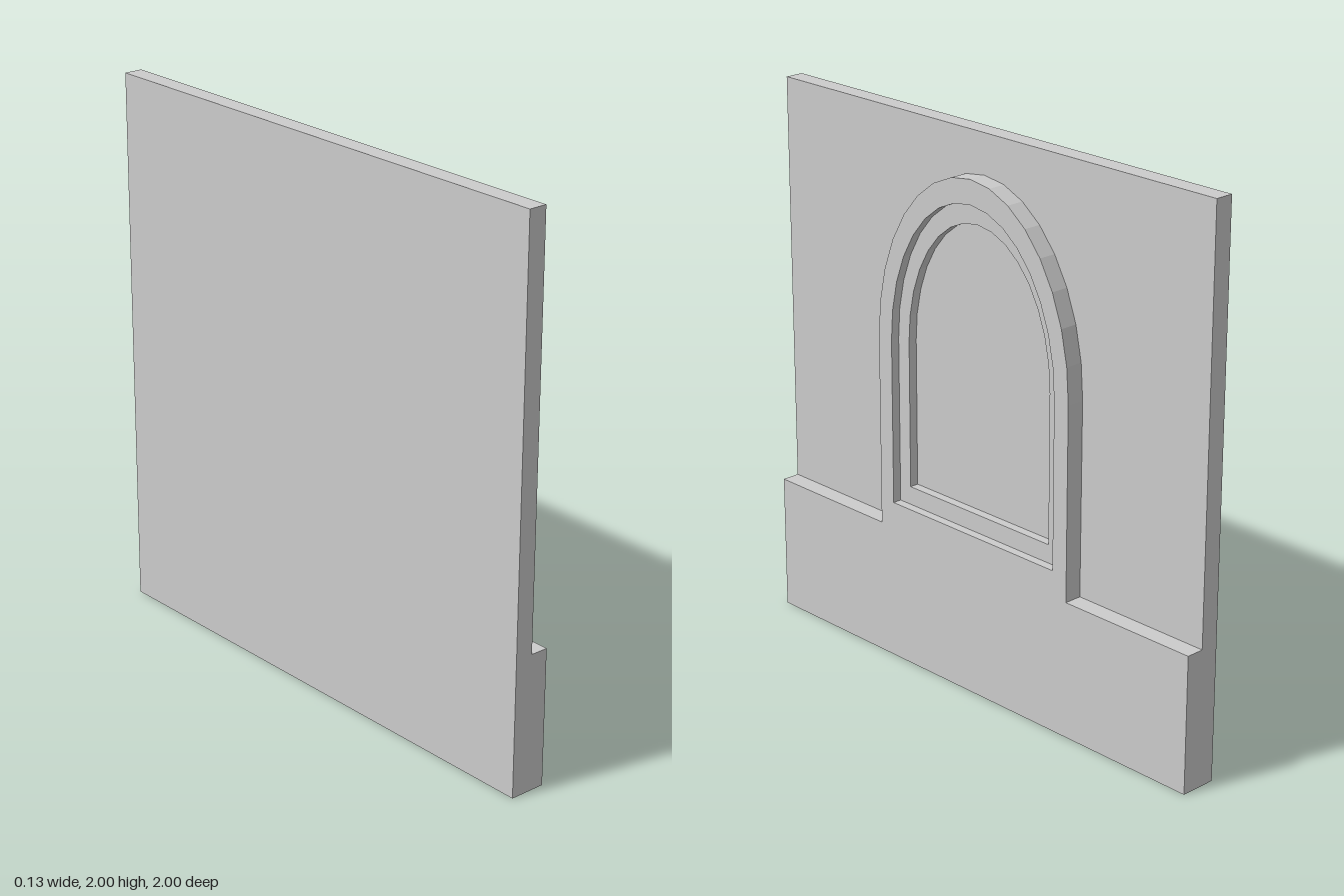
import * as THREE from 'three';

const material = new THREE.MeshStandardMaterial({ color: 0xcccccc });
const FRONT = 0.066, STEP = 0.033, BACK = -0.068;
const SPRING = 1.2, CENTRE = -0.003, PLINTH = 0.5;

// Elliptical arch, from the right jamb over the crown to the left jamb
function archPoints(halfWidth, apex, segments = 16) {
  const pts = [];
  for (let i = 0; i <= segments; i++) {
    const a = (i / segments) * Math.PI;
    pts.push(new THREE.Vector2(
      CENTRE + halfWidth * Math.cos(a),
      SPRING + (apex - SPRING) * Math.sin(a)));
  }
  return pts;
}

// Arch closed with straight jambs down to a level base
function archOutline(halfWidth, apex, base) {
  return [
    new THREE.Vector2(CENTRE + halfWidth, base),
    ...archPoints(halfWidth, apex),
    new THREE.Vector2(CENTRE - halfWidth, base),
  ];
}

// Plinth and arch surround in one slab, with an arched opening
function surroundLayer(name, opening, x0, x1) {
  const shape = new THREE.Shape([
    new THREE.Vector2(-1, 0),
    new THREE.Vector2(1, 0),
    new THREE.Vector2(1, PLINTH),
    ...archOutline(0.457, 1.857, PLINTH),
    new THREE.Vector2(-1, PLINTH),
  ]);
  shape.holes.push(new THREE.Path(opening));
  const geometry = new THREE.ExtrudeGeometry(shape, { depth: x1 - x0, bevelEnabled: false });
  geometry.rotateY(Math.PI / 2);
  geometry.translate(x0, 0, 0);
  const mesh = new THREE.Mesh(geometry, material);
  mesh.name = name;
  return mesh;
}

export function createModel() {
  const group = new THREE.Group();
  group.name = 'archedNicheWall';

  // Flat wall slab, also the back of the niche
  const wall = new THREE.Mesh(new THREE.BoxGeometry(-BACK, 2, 2), material);
  wall.name = 'wall';
  wall.position.set(BACK / 2, 1, 0);
  group.add(wall);

  // Stepped surround: narrow opening behind, wider opening in front
  group.add(surroundLayer('innerSurround', archOutline(0.34, 1.695, 0.662), 0, STEP));
  group.add(surroundLayer('outerSurround', archOutline(0.393, 1.77, 0.595), STEP, FRONT));
  return group;
}
